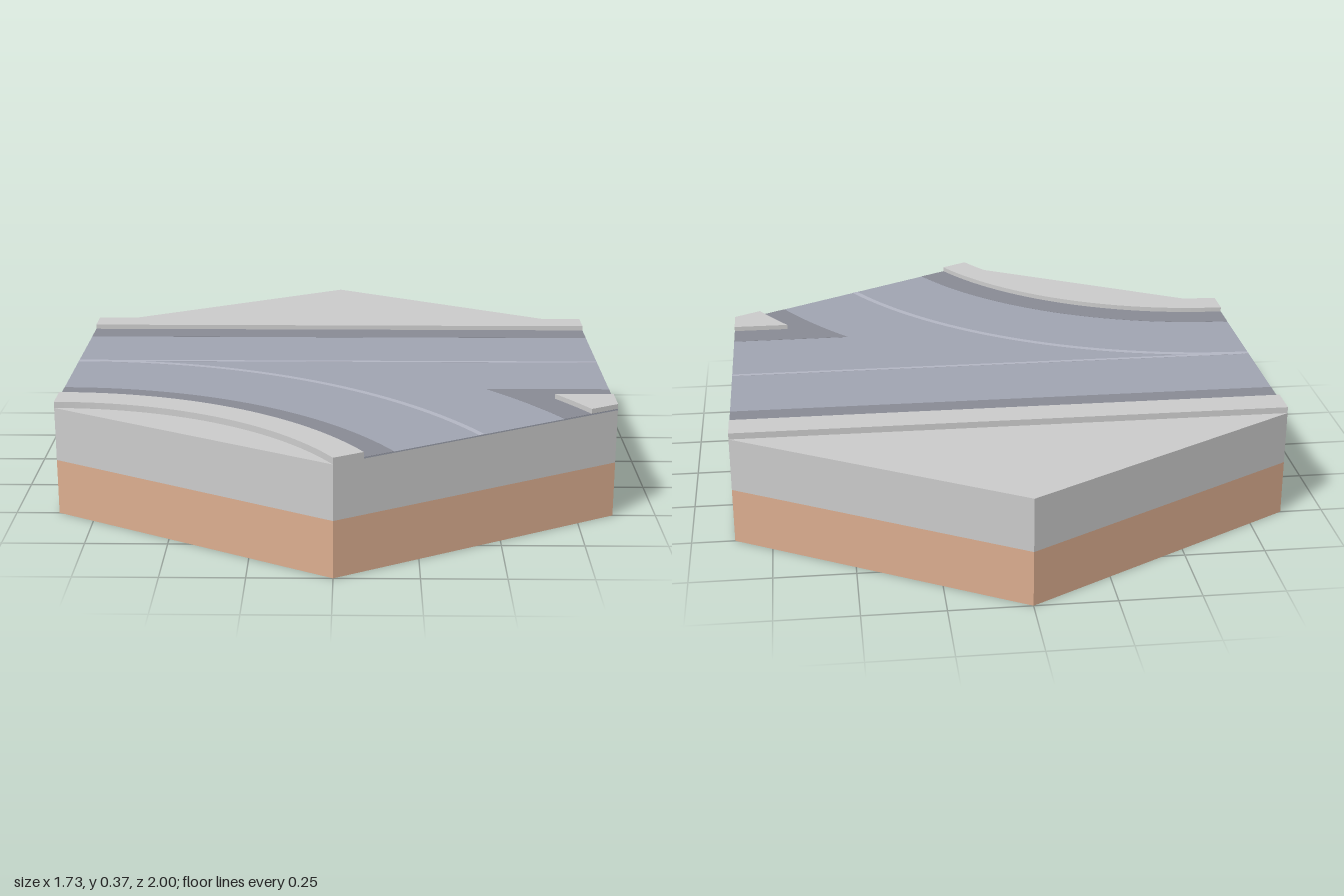
import * as THREE from 'three';

const HALF = Math.sqrt(3) / 2; // half width across the flats
const CENTER = [-HALF, 1.5]; // centre (x, z) of the road bend
const BEND = Math.PI / 3;

// Heights of the stacked layers
const SOIL = 0.176, GROUND = 0.346, ROAD = 0.35, PAINT = 0.3506, CURB = 0.366;

const material = (color) => new THREE.MeshStandardMaterial({ color, flatShading: true });

// Plan points along the bend at radius r, between two angles
function arc(r, from = 0, to = BEND, steps = 32) {
  return Array.from({ length: steps + 1 }, (_, i) => {
    const t = from + (to - from) * i / steps;
    return [CENTER[0] + r * Math.sin(t), CENTER[1] - r * Math.cos(t)];
  });
}

const band = (r0, r1) => [...arc(r0), ...arc(r1).reverse()];
const strip = (z0, z1) => [[-HALF, z0], [HALF, z0], [HALF, z1], [-HALF, z1]];

// Corner wedge outside radius r and in front of z
const wedge = (r, z) => [
  ...arc(r, Math.acos((CENTER[1] - z) / r), BEND, 12), [HALF, 0.5], [HALF, z],
];

export function createModel() {
  const group = new THREE.Group();
  const grey = material(0xcccccc);
  const soil = material(0xdcae90);
  const asphalt = material(0xa0a4b1);
  const gutter = material(0x898b95);
  const paint = material(0xb4b7c4);

  const add = (name, geometry, mat) => {
    const mesh = new THREE.Mesh(geometry, mat);
    mesh.name = name;
    group.add(mesh);
    return mesh;
  };

  // Raises a plan outline of (x, z) points from y0 to y1
  const slab = (name, outline, y0, y1, mat) => {
    const shape = new THREE.Shape(outline.map(([x, z]) => new THREE.Vector2(x, -z)));
    const geometry = new THREE.ExtrudeGeometry(shape, { depth: y1 - y0, bevelEnabled: false });
    geometry.rotateX(-Math.PI / 2).translate(0, y0, 0);
    return add(name, geometry, mat);
  };

  // Hexagonal base in two layers
  const hex = (name, y0, y1, mat) =>
    add(name, new THREE.CylinderGeometry(1, 1, y1 - y0, 6), mat).position.set(0, (y0 + y1) / 2, 0);
  hex('soilBase', 0, SOIL, soil);
  hex('groundSlab', SOIL, GROUND, grey);

  // Road surface: straight lane with a branch bending to the front left edge
  slab('roadSurface',
    [[-HALF, -0.4], [HALF, -0.4], [HALF, 0.5], ...arc(1.1).reverse()],
    GROUND, ROAD, asphalt);

  // Dark gutters beside the curbs
  slab('backGutter', strip(-0.4, -0.3), ROAD, PAINT, gutter);
  slab('bendGutter', band(1.1, 1.2), ROAD, PAINT, gutter);
  slab('cornerGutter', wedge(1.8, 0.3), ROAD, PAINT, gutter);

  // Lane lines
  slab('straightLine', strip(-0.01, 0.003), ROAD, PAINT, paint);
  slab('bendLine', band(1.49, 1.51), ROAD, PAINT + 0.0003, paint);

  // Raised curbs
  slab('backCurb', strip(-0.5, -0.4), GROUND, CURB, grey);
  slab('bendCurb', band(1.0, 1.1), GROUND, CURB, grey);
  slab('cornerCurb', wedge(1.9, 0.4), PAINT, CURB, grey);

  return group;
}
